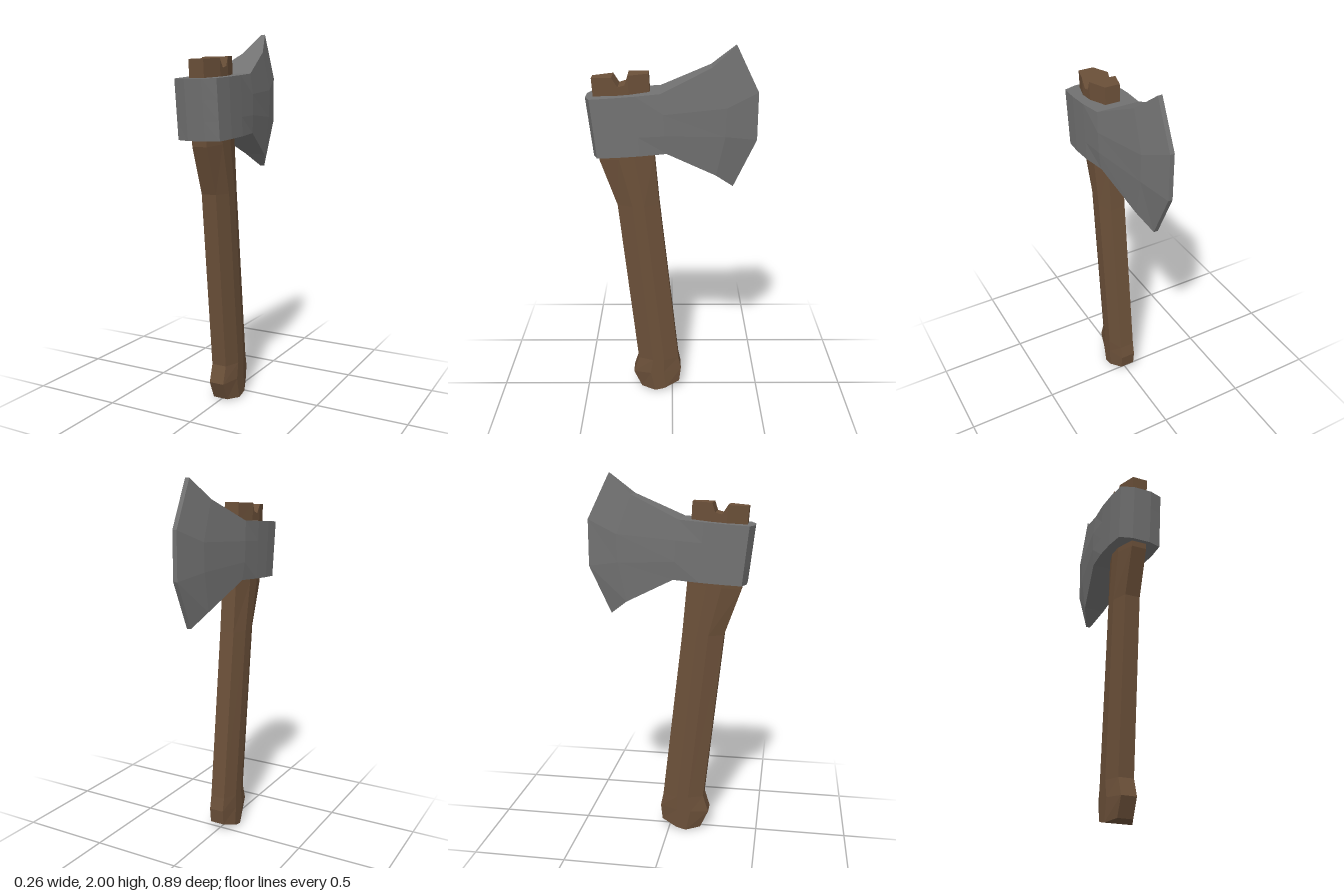
import * as THREE from 'three';

// Loft through half-sections of [x, y, z] points, each mirrored across x = 0.
// Both ends are closed with strips running from side to side.
function mirroredLoft(sections) {
  const rings = sections.map((half) => [
    ...half,
    ...half.slice().reverse().map(([x, y, z]) => [-x, y, z]),
  ]);
  const n = rings[0].length;
  const pos = [];
  const quad = (a, b, c, d) => pos.push(...a, ...b, ...c, ...a, ...c, ...d);

  for (let j = 0; j < rings.length - 1; j++) {
    const r = rings[j], s = rings[j + 1];
    for (let i = 0; i < n; i++) {
      const k = (i + 1) % n;
      quad(r[i], r[k], s[k], s[i]);
    }
  }
  const first = rings[0], last = rings[rings.length - 1];
  for (let i = 0; i < n / 2 - 1; i++) {
    quad(first[i + 1], first[i], first[n - 1 - i], first[n - 2 - i]);
    quad(last[i], last[i + 1], last[n - 2 - i], last[n - 1 - i]);
  }
  const geo = new THREE.BufferGeometry();
  geo.setAttribute('position', new THREE.Float32BufferAttribute(pos, 3));
  geo.computeVertexNormals();
  return geo;
}

const lerp = THREE.MathUtils.lerp;

function handleGeometry() {
  // Octagonal section; the extra points on the flat side carry the top notch
  const along = [0, 0.36, 0.466, 0.586, 0.638, 1];
  const halfWidth = [0.042, 0.075, 0.075, 0.075, 0.075, 0.042];
  // Each ring: front z, front y, back z, back y, optional y of every point
  const rings = [
    [0.18, 0.01, -0.04, 0.045, [0.01, 0, 0.005, 0.012, 0.017, 0.045]],
    [0.225, 0.11, -0.05, 0.13],
    [0.195, 0.205, -0.035, 0.205],
    [0.295, 1.16, 0.07, 1.16],
    [0.383, 1.41, 0.095, 1.44],
    [0.405, 1.74, 0.115, 1.76],
    [0.412, 1.84, 0.12, 1.863, [1.84, 1.847, 1.8, 1.81, 1.858, 1.863]],
  ];
  return mirroredLoft(rings.map(([fz, fy, bz, by, ys]) =>
    along.map((t, i) => [halfWidth[i], ys ? ys[i] : lerp(fy, by, t), lerp(fz, bz, t)])));
}

function headGeometry() {
  // Socket block: top z, bottom z, half width
  const socket = [
    [0.445, 0.41, 0.05],
    [0.42, 0.388, 0.12],
    [0.31, 0.285, 0.13],
    [0.19, 0.17, 0.13],
  ].map(([tz, bz, w]) => {
    const ty = 1.745 + (0.445 - tz) * 0.078;
    const by = 1.44 + (0.41 - bz) * 0.066;
    return [0, 0.34, 0.68, 1].map((t) => [w, lerp(ty, by, t), lerp(tz, bz, t)]);
  });
  // Flaring blade, from the cheek to the cutting edge
  const blade = [
    [[0.118, 1.775, 0.06], [0.125, 1.67, 0.045], [0.125, 1.56, 0.04], [0.116, 1.465, 0.03]],
    [[0.06, 1.895, -0.2], [0.065, 1.69, -0.28], [0.065, 1.54, -0.275], [0.06, 1.33, -0.23]],
    [[0.012, 2, -0.325], [0.012, 1.76, -0.445], [0.012, 1.51, -0.445], [0.012, 1.255, -0.325]],
  ];
  return mirroredLoft([...socket, ...blade]);
}

export function createModel() {
  const wood = new THREE.MeshStandardMaterial({ color: 0x6b5039, flatShading: true });
  wood.name = 'wood';
  const steel = new THREE.MeshStandardMaterial({ color: 0x727272, flatShading: true });
  steel.name = 'steel';

  const model = new THREE.Group();
  model.name = 'axe';
  const handle = new THREE.Mesh(handleGeometry(), wood);
  handle.name = 'handle';
  const head = new THREE.Mesh(headGeometry(), steel);
  head.name = 'axeHead';
  model.add(handle, head);
  return model;
}
